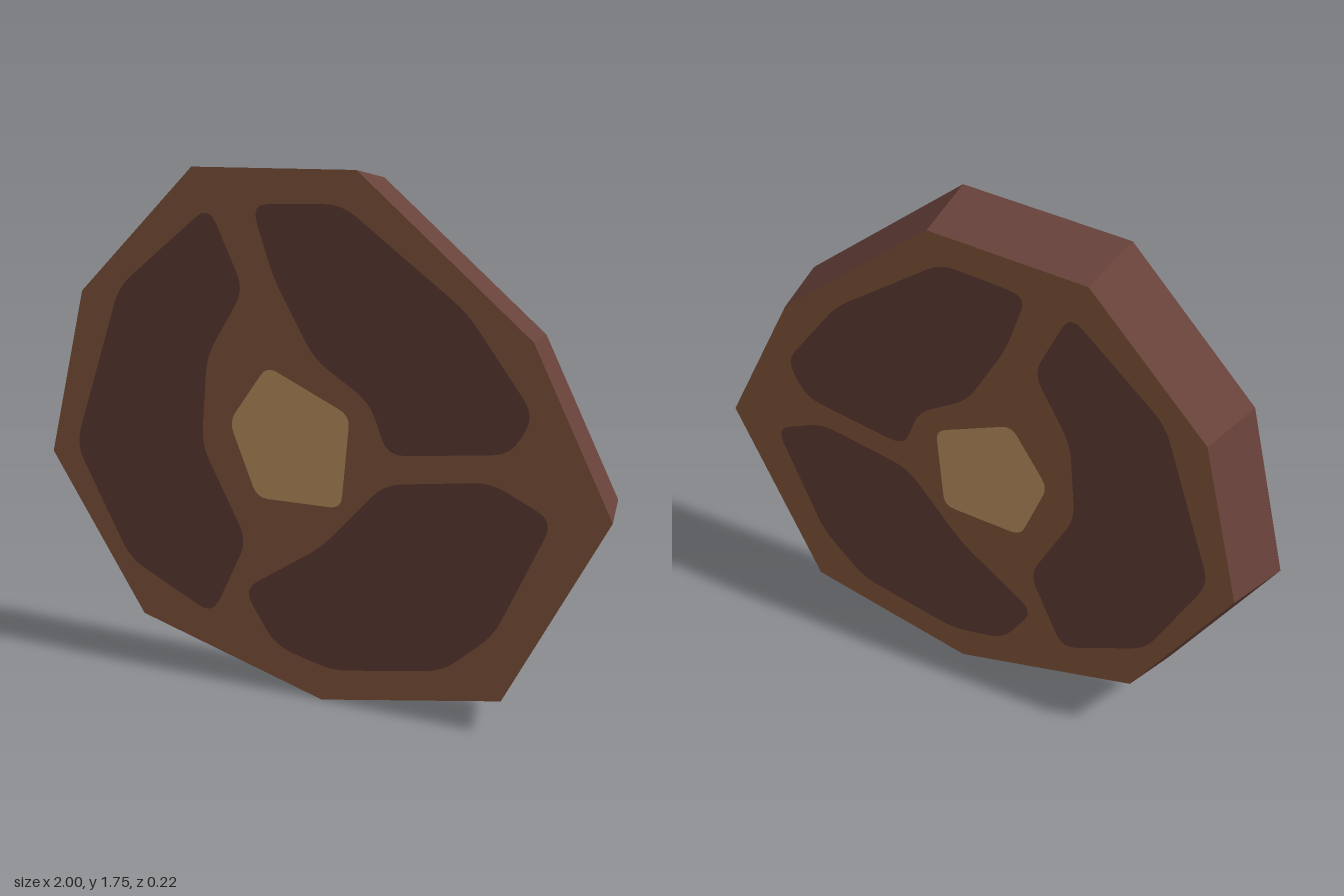
import * as THREE from 'three';

const FRONT_Z = 0.108, BACK_Z = -0.112, TAPER = 0.945, MID_Y = 0.875;

// Corner points, clockwise from the front
const OUTLINE = [[-0.43, 1.73], [0.15, 1.752], [0.735, 1.275], [1, 0.75], [0.66, 0.115],
  [0.03, 0], [-0.65, 0.19], [-1, 0.725], [-0.86, 1.295]];
const PATCHES = {
  leftPatch: [[-0.715, 1.32], [-0.37, 1.61], [-0.245, 1.35], [-0.385, 1.12], [-0.41, 0.82],
    [-0.245, 0.51], [-0.38, 0.23], [-0.7, 0.38], [-0.905, 0.76]],
  upperPatch: [[-0.215, 1.625], [0.1, 1.645], [0.52, 1.345], [0.745, 1.05], [0.67, 0.92],
    [0.26, 0.865], [0.2, 1.03], [0.005, 1.15], [-0.14, 1.4]],
  lowerPatch: [[0.25, 0.77], [0.61, 0.825], [0.815, 0.73], [0.63, 0.33], [0.46, 0.18],
    [0.07, 0.11], [-0.14, 0.16], [-0.26, 0.34], [0.03, 0.53]],
};
const CORE = [[-0.165, 1.11], [0.13, 0.98], [0.1, 0.67], [-0.205, 0.665], [-0.305, 0.91]];

// Closed path with rounded corners
function roundedPath(points, radius, path) {
  const v = points.map(([x, y]) => new THREE.Vector2(x, y));
  v.forEach((p, i) => {
    const prev = v[(i + v.length - 1) % v.length], next = v[(i + 1) % v.length];
    const a = p.clone().add(prev.clone().sub(p).setLength(radius));
    const b = p.clone().add(next.clone().sub(p).setLength(radius));
    if (i === 0) path.moveTo(a.x, a.y); else path.lineTo(a.x, a.y);
    path.quadraticCurveTo(p.x, p.y, b.x, b.y);
  });
  path.closePath();
  return path;
}

// Flat face on the front, or turned over and narrowed on the back
function faceGeometry(shape, back) {
  const g = new THREE.ShapeGeometry(shape, 4);
  if (!back) return g.translate(0, 0, FRONT_Z);
  g.translate(0, -MID_Y, 0).scale(TAPER, TAPER, 1).translate(0, MID_Y, BACK_Z);
  const index = Array.from(g.index.array).reverse();
  g.setIndex(index);
  g.computeVertexNormals();
  return g;
}

// Tapered band between the front and back outlines
function rimGeometry() {
  const pos = [];
  const front = ([x, y]) => [x, y, FRONT_Z];
  const rear = ([x, y]) => [x * TAPER, MID_Y + (y - MID_Y) * TAPER, BACK_Z];
  OUTLINE.forEach((p, i) => {
    const q = OUTLINE[(i + 1) % OUTLINE.length];
    for (const c of [front(p), front(q), rear(q), front(p), rear(q), rear(p)]) pos.push(...c);
  });
  const g = new THREE.BufferGeometry();
  g.setAttribute('position', new THREE.Float32BufferAttribute(pos, 3));
  g.computeVertexNormals();
  return g;
}

export function createModel() {
  const material = (name, color) => {
    const m = new THREE.MeshStandardMaterial({ color });
    m.name = name;
    return m;
  };
  const dark = material('darkBrown', 0x68423a);
  const mid = material('midBrown', 0x8e5d41);
  const tan = material('tan', 0xcf9d69);

  const model = new THREE.Group();
  model.name = 'slice';
  const add = (parent, name, geometry, mat) => {
    const mesh = new THREE.Mesh(geometry, mat);
    mesh.name = name;
    parent.add(mesh);
  };

  add(model, 'rim', rimGeometry(), dark);

  for (const back of [false, true]) {
    const face = new THREE.Group();
    face.name = back ? 'backFace' : 'frontFace';
    model.add(face);

    // Web between the patches, cut out so that all faces lie flush
    const web = new THREE.Shape(OUTLINE.map(([x, y]) => new THREE.Vector2(x, y)));
    for (const points of [...Object.values(PATCHES), CORE]) {
      web.holes.push(roundedPath(points, points === CORE ? 0.04 : 0.06, new THREE.Path()));
    }
    add(face, 'web', faceGeometry(web, back), mid);

    for (const [name, points] of Object.entries(PATCHES)) {
      add(face, name, faceGeometry(roundedPath(points, 0.06, new THREE.Shape()), back), dark);
    }
    add(face, 'core', faceGeometry(roundedPath(CORE, 0.04, new THREE.Shape()), back), tan);
  }
  return model;
}
